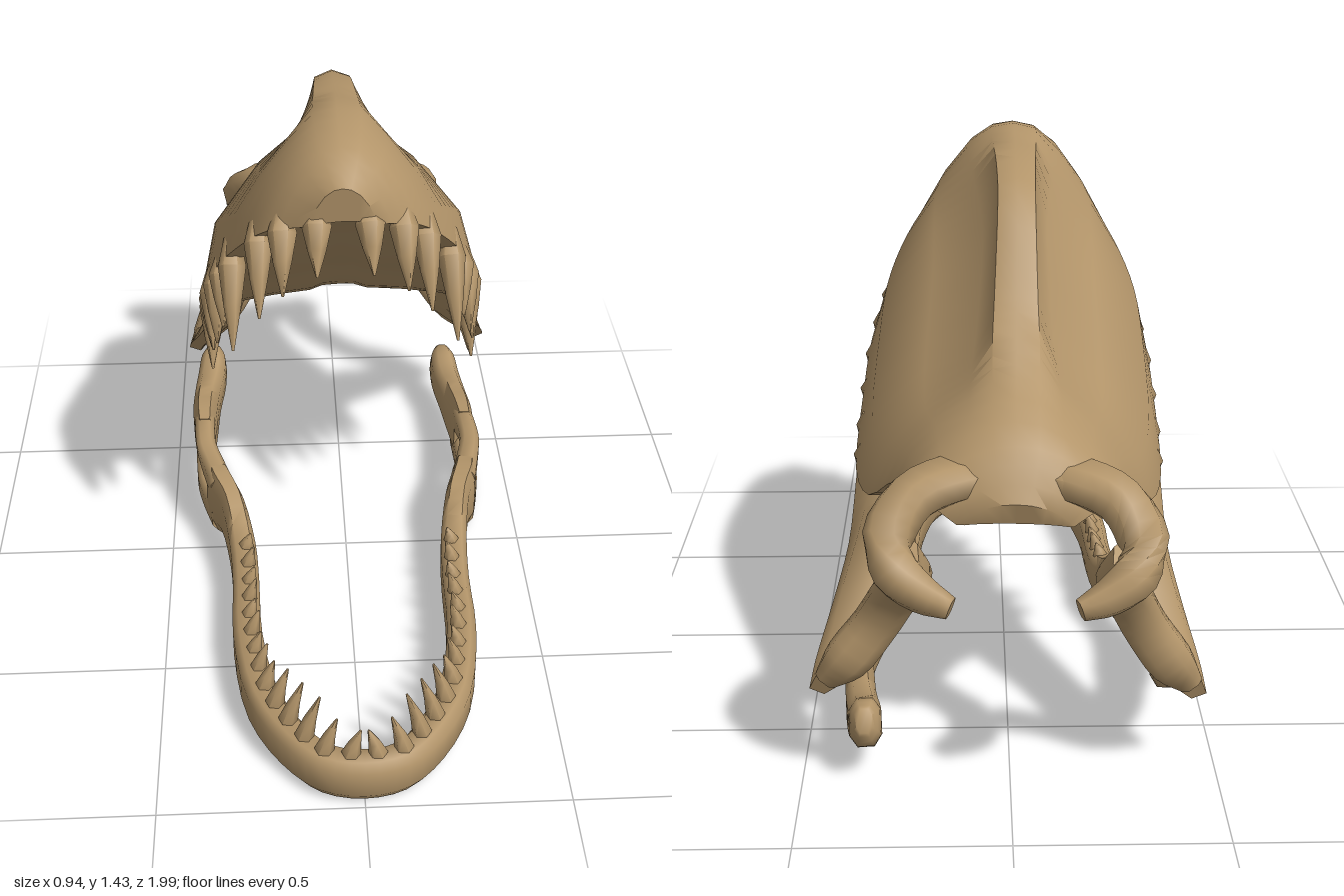
import * as THREE from 'three';
import { toCreasedNormals } from 'three/addons/utils/BufferGeometryUtils.js';

const V = (x, y, z) => new THREE.Vector3(x, y, z);
const bone = new THREE.MeshStandardMaterial({ color: 0xb3956a });
bone.name = 'bone';

// Closed solid through a list of rings, always wound outwards
function loft(name, rings, crease = 0.9) {
  const n = rings[0].length, pts = rings.flat(), idx = [];
  for (let i = 0; i < rings.length - 1; i++)
    for (let j = 0; j < n; j++) {
      const a = i * n + j, b = i * n + (j + 1) % n;
      idx.push(a, b, a + n, b, b + n, a + n);
    }
  // caps zip across the ring, so arched sections stay arched
  const cap = (o, flip) => {
    for (let lo = 0, hi = n - 1; hi - lo > 1; lo++, hi--) {
      const f = (a, b, c) => flip ? idx.push(o + a, o + c, o + b) : idx.push(o + a, o + b, o + c);
      f(lo, hi, lo + 1);
      if (hi - lo > 2) f(lo + 1, hi, hi - 1);
    }
  };
  cap(0, false);
  cap((rings.length - 1) * n, true);
  let vol = 0;
  for (let i = 0; i < idx.length; i += 3)
    vol += pts[idx[i]].dot(V().crossVectors(pts[idx[i + 1]], pts[idx[i + 2]]));
  if (vol < 0) idx.reverse();
  const g = new THREE.BufferGeometry().setFromPoints(pts);
  g.setIndex(idx);
  const mesh = new THREE.Mesh(toCreasedNormals(g, crease), bone);
  mesh.name = name;
  return mesh;
}

// Smooth extra rings between the given ones
function refine(rings, k = 3) {
  const curves = rings[0].map((_, j) => new THREE.CatmullRomCurve3(rings.map(r => r[j])));
  const m = (rings.length - 1) * k;
  return Array.from({ length: m + 1 }, (_, i) => curves.map(c => c.getPoint(i / m)));
}

// Rounded bar along stations [x, y, z, width, height]
function sweep(name, st, { ref = V(0, 1, 0), sides = 8, k = 3, power = 0.75 } = {}) {
  const p = st.map(s => V(s[0], s[1], s[2]));
  const rings = st.map((s, i) => {
    const t = p[Math.min(i + 1, p.length - 1)].clone().sub(p[Math.max(i - 1, 0)]).normalize();
    const side = t.clone().cross(ref).normalize(), up = side.clone().cross(t);
    return Array.from({ length: sides }, (_, j) => {
      const a = (j + 0.5) / sides * Math.PI * 2;
      const e = v => Math.sign(v) * Math.abs(v) ** power;
      return p[i].clone().addScaledVector(side, e(Math.cos(a)) * s[3] / 2)
        .addScaledVector(up, e(Math.sin(a)) * s[4] / 2);
    });
  });
  return loft(name, k > 1 ? refine(rings, k) : rings, 1.1);
}

// Curved pointed tooth with its root sunk in the bone
function tooth(name, base, dir, len, r, bend) {
  const at = (f, w) => {
    const q = base.clone().addScaledVector(dir, len * f).addScaledVector(bend, len * f * f);
    return [q.x, q.y, q.z, w, w];
  };
  return sweep(name, [at(-0.3, r * 1.2), at(0.05, r * 2.1), at(0.5, r * 1.35), at(1, 0.006)],
    { ref: V(1, 0, 0.1), sides: 6, k: 1, power: 1 });
}

function buildSkull() {
  const skull = new THREE.Group();
  skull.name = 'skull';

  // Roof and palate: [ridge y, ridge z, rim x, rim y, rim z, hollow beside the ridge]
  const sections = [
    [1.34, 0.375, 0.08, 1.24, 0.365, 0], [1.40, 0.28, 0.18, 1.20, 0.30, 0],
    [1.43, 0.12, 0.26, 1.10, 0.195, 0.2], [1.42, 0, 0.32, 0.99, 0.09, 0.6],
    [1.40, -0.16, 0.36, 0.88, -0.02, 0.9], [1.345, -0.30, 0.375, 0.78, -0.14, 1],
    [1.14, -0.46, 0.385, 0.63, -0.31, 0.9], [1.06, -0.54, 0.345, 0.63, -0.47, 0.7],
    [0.99, -0.62, 0.27, 0.735, -0.62, 0.4], [0.89, -0.78, 0.21, 0.765, -0.79, 0.1],
    [0.78, -0.85, 0.13, 0.72, -0.83, 0]];
  const round = [[0, 0], [0.25, 0.04], [0.52, 0.2], [0.77, 0.5], [0.93, 0.8], [1, 1]];
  const ridged = [[0, 0], [0.12, 0.03], [0.21, 0.25], [0.53, 0.4], [0.88, 0.68], [1, 1]];
  const rings = sections.map(([dy, dz, ex, ey, ez, w]) => {
    const half = round.map((q, i) => {
      const fx = q[0] + (ridged[i][0] - q[0]) * w, fy = q[1] + (ridged[i][1] - q[1]) * w;
      return V(ex * fx, dy + (ey - dy) * fy, dz + (ez - dz) * fy);
    });
    const outer = [...half.slice(1).reverse().map(q => V(-q.x, q.y, q.z)), ...half];
    // shallow vaulted palate just above the rim
    const palate = outer.map(q => V(q.x * 0.87, ey + (q.y - ey) * 0.11, ez + (q.z - ez) * 0.11)).reverse();
    return [...outer, ...palate];
  });
  skull.add(loft('skullRoof', refine(rings), 0.8));

  // Cheek bar: pairs of lower and upper edge points
  const cheek = [
    [0.38, 0.69, -0.24, 0.26, 0.76, -0.38], [0.385, 0.59, -0.35, 0.25, 0.68, -0.46],
    [0.395, 0.49, -0.45, 0.28, 0.61, -0.52], [0.425, 0.39, -0.56, 0.32, 0.49, -0.6],
    [0.46, 0.29, -0.68, 0.345, 0.375, -0.70], [0.47, 0.245, -0.73, 0.38, 0.33, -0.775]];
  // Rim line that carries the upper teeth
  const rim = new THREE.CatmullRomCurve3([
    V(0, 1.25, 0.355), V(0.1, 1.23, 0.34), V(0.17, 1.19, 0.29), V(0.24, 1.09, 0.19),
    V(0.3, 0.98, 0.09), V(0.335, 0.87, -0.02), V(0.35, 0.77, -0.14), V(0.36, 0.62, -0.31)]);
  const upperTeeth = [[0.06, 0.12], [0.15, 0.15], [0.25, 0.18], [0.42, 0.21], [0.5, 0.13],
    [0.58, 0.15], [0.67, 0.15], [0.77, 0.13], [0.87, 0.17], [0.95, 0.14]];

  for (const s of [1, -1]) {
    const tag = s > 0 ? 'left' : 'right';
    skull.add(loft(tag + 'CheekBar', refine(cheek.map(c => {
      const a = V(s * c[0], c[1], c[2]), b = V(s * c[3], c[4], c[5]), t = V(s * 0.035, 0.015, 0);
      const mid = a.clone().lerp(b, 0.5);
      return [a, mid.clone().add(V(s * 0.025, 0.01, 0)), b, b.clone().sub(t), mid.sub(t), a.clone().sub(t)];
    }))));
    // Hooked bar at the back of the head
    skull.add(sweep(tag + 'RearHook', [
      [s * 0.05, 0.80, -0.70, 0.16, 0.06], [s * 0.14, 0.805, -0.765, 0.15, 0.09], [s * 0.23, 0.78, -0.82, 0.12, 0.1],
      [s * 0.28, 0.71, -0.88, 0.11, 0.1],
      [s * 0.26, 0.65, -0.925, 0.1, 0.1], [s * 0.2, 0.61, -0.955, 0.075, 0.08], [s * 0.14, 0.59, -0.975, 0.04, 0.05]]));
    // Strut from the hook down to the jaw joint
    skull.add(sweep(tag + 'JointStrut', [
      [s * 0.25, 0.68, -0.9, 0.08, 0.09], [s * 0.235, 0.6, -0.85, 0.11, 0.085], [s * 0.27, 0.52, -0.785, 0.11, 0.085],
      [s * 0.315, 0.43, -0.755, 0.11, 0.08], [s * 0.38, 0.34, -0.755, 0.11, 0.08], [s * 0.43, 0.28, -0.74, 0.06, 0.05]],
    { ref: V(0, 0, 1) }));
    upperTeeth.forEach(([t, len]) => skull.add(tooth(tag + 'UpperTooth', V().copy(rim.getPointAt(t)).multiply(V(s, 1, 1)),
      V(s * 0.04, -0.85, 0.75 - 0.22 * t).normalize(), len, 0.034, V(0, -0.12, -0.06))));
  }
  // slight natural roll
  skull.rotation.z = 0.026;
  skull.position.x = 0.01;
  return skull;
}

function buildJaw() {
  const jaw = new THREE.Group();
  jaw.name = 'lowerJaw';
  // the right branch sits a little wider, higher and further forward at the back
  const place = (s, [x, y, z, ...rest]) => {
    const k = s < 0 ? THREE.MathUtils.smoothstep(-z, -0.2, 0.7) : 0;
    return [s * (x + 0.04 * k), y + 0.09 * k, z + 0.11 * k, ...rest];
  };

  // Front bow, from tip to the start of the side opening
  const bow = [[0.09, 0.07, 0.935, 0.08, 0.125], [0.165, 0.072, 0.86, 0.085, 0.125], [0.24, 0.075, 0.72, 0.085, 0.125],
    [0.28, 0.08, 0.5, 0.08, 0.125], [0.285, 0.088, 0.3, 0.075, 0.115], [0.295, 0.1, 0.15, 0.075, 0.13],
    [0.32, 0.122, 0, 0.07, 0.18], [0.345, 0.113, -0.08, 0.075, 0.21], [0.355, 0.112, -0.13, 0.07, 0.2]];
  jaw.add(sweep('jawBow', [...bow.map(b => place(1, b)).reverse(), [0, 0.069, 0.955, 0.08, 0.125],
    ...bow.map(b => place(-1, b))], { power: 0.6 }));

  // Tooth line on the inner top edge of the bow
  const line = new THREE.CatmullRomCurve3([V(0, 0.125, 0.945),
    ...bow.slice(0, 6).map(b => V(b[0] * 0.97, b[1] + b[4] / 2 - 0.008, b[2]))]);
  const count = 14, frontLengths = [0.075, 0.1, 0.125, 0.12, 0.11];

  for (const s of [1, -1]) {
    const tag = s > 0 ? 'left' : 'right';
    const bar = (name, st) => jaw.add(sweep(tag + name, st.map(b => place(s, b))));
    bar('OpeningUpperBar', [[0.345, 0.165, -0.07, 0.07, 0.09], [0.365, 0.172, -0.16, 0.065, 0.075],
      [0.38, 0.183, -0.24, 0.06, 0.045], [0.38, 0.165, -0.33, 0.06, 0.08], [0.375, 0.14, -0.43, 0.06, 0.12]]);
    bar('OpeningLowerBar', [[0.345, 0.06, -0.07, 0.07, 0.1], [0.365, 0.048, -0.16, 0.065, 0.09],
      [0.38, 0.04, -0.25, 0.06, 0.075], [0.38, 0.048, -0.34, 0.06, 0.095], [0.375, 0.07, -0.43, 0.06, 0.12]]);
    bar('JawEnd', [[0.378, 0.113, -0.37, 0.06, 0.19], [0.375, 0.115, -0.45, 0.075, 0.18], [0.365, 0.112, -0.57, 0.08, 0.15],
      [0.35, 0.13, -0.67, 0.085, 0.13], [0.345, 0.165, -0.73, 0.075, 0.11], [0.345, 0.185, -0.76, 0.04, 0.06]]);
    for (let i = 0; i < count; i++) {
      const t = (i + 0.5) / count, q = line.getPointAt(t);
      const len = (frontLengths[i] ?? 0.1 - 0.05 * t) * (i % 2 && i > 5 ? 0.8 : 1);
      const b = place(s, [q.x, q.y, q.z]);
      jaw.add(tooth(tag + 'LowerTooth', V(...b), V(-s * 0.2, 1, 0.06).normalize(), len,
        i < 6 ? 0.023 : 0.02, V(-s * 0.12, 0, -0.1)));
    }
  }
  return jaw;
}

export function createModel() {
  const model = new THREE.Group();
  model.name = 'reptileSkull';
  model.add(buildSkull(), buildJaw());
  return model;
}
